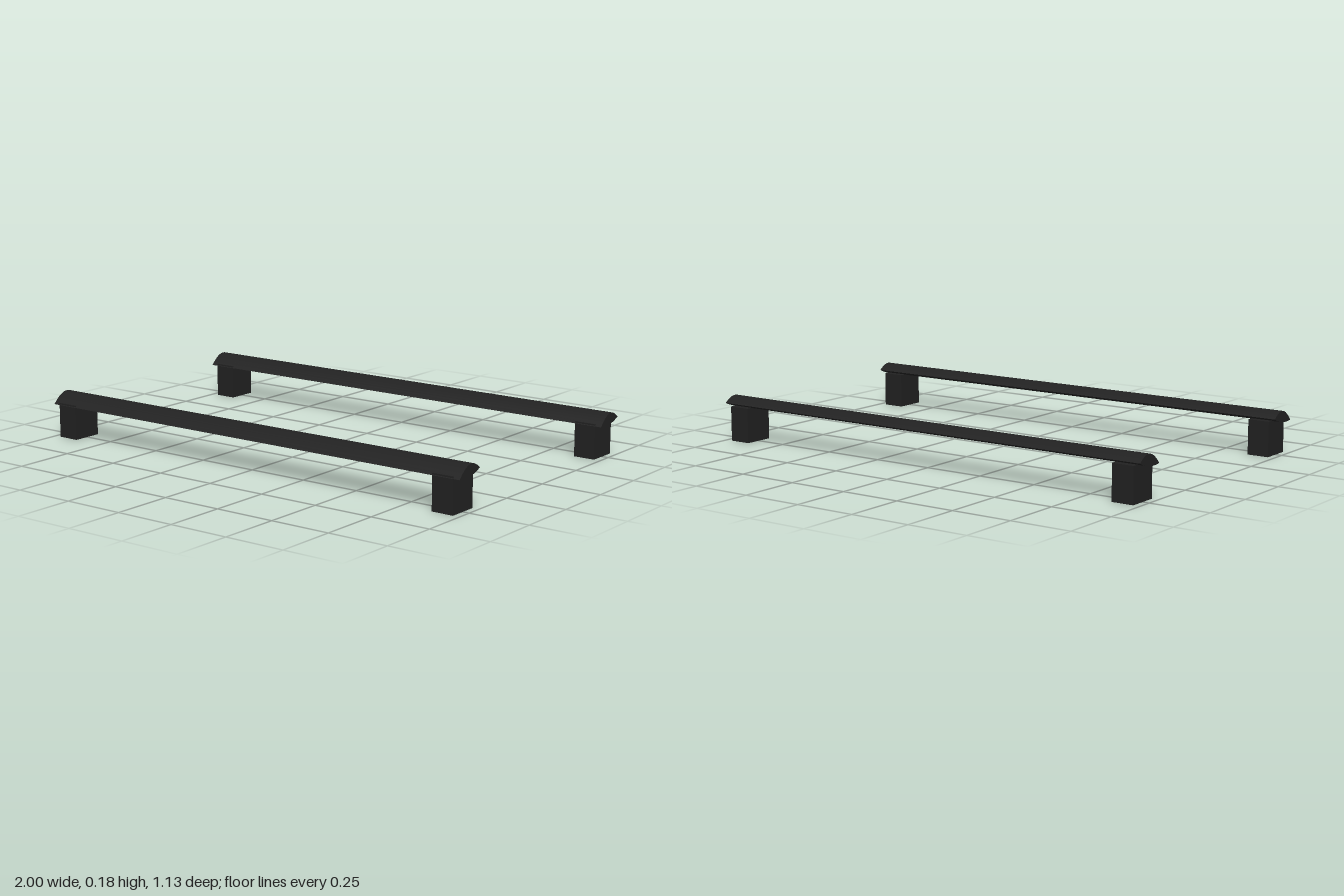
import * as THREE from 'three';
import { toCreasedNormals } from 'three/addons/utils/BufferGeometryUtils.js';

const LENGTH = 2;
const BAR_Z = 0.5;
const FOOT_X = 0.927;

// Wing-shaped section: low leading tip, domed top, shallow curved underside
function barGeometry() {
  const profile = new THREE.Shape();
  profile.moveTo(-0.065, 0.135);
  profile.bezierCurveTo(-0.032, 0.129, 0.015, 0.13, 0.065, 0.155);
  profile.bezierCurveTo(0.022, 0.193, -0.016, 0.192, -0.065, 0.135);
  const geometry = new THREE.ExtrudeGeometry(profile, {
    depth: LENGTH, bevelEnabled: false, curveSegments: 14,
  });
  // Run the section along x, with its leading tip towards +z
  geometry.translate(0, 0, -LENGTH / 2);
  geometry.rotateY(Math.PI / 2);
  return toCreasedNormals(geometry, Math.PI / 6);
}

export function createModel() {
  const model = new THREE.Group();
  model.name = 'roofBars';

  const black = new THREE.MeshStandardMaterial({ color: 0x212121 });
  black.name = 'black';

  const barGeo = barGeometry();
  const footGeo = new THREE.BoxGeometry(0.091, 0.143, 0.126);

  for (const [label, z] of [['front', BAR_Z], ['rear', -BAR_Z]]) {
    const assembly = new THREE.Group();
    assembly.name = label + 'BarAssembly';
    assembly.position.z = z;

    const bar = new THREE.Mesh(barGeo, black);
    bar.name = label + 'Bar';
    assembly.add(bar);

    // Block feet near both ends
    for (const side of [-1, 1]) {
      const foot = new THREE.Mesh(footGeo, black);
      foot.name = label + (side > 0 ? 'Left' : 'Right') + 'Foot';
      foot.position.set(side * FOOT_X, 0.0715, 0);
      assembly.add(foot);
    }
    model.add(assembly);
  }
  return model;
}
